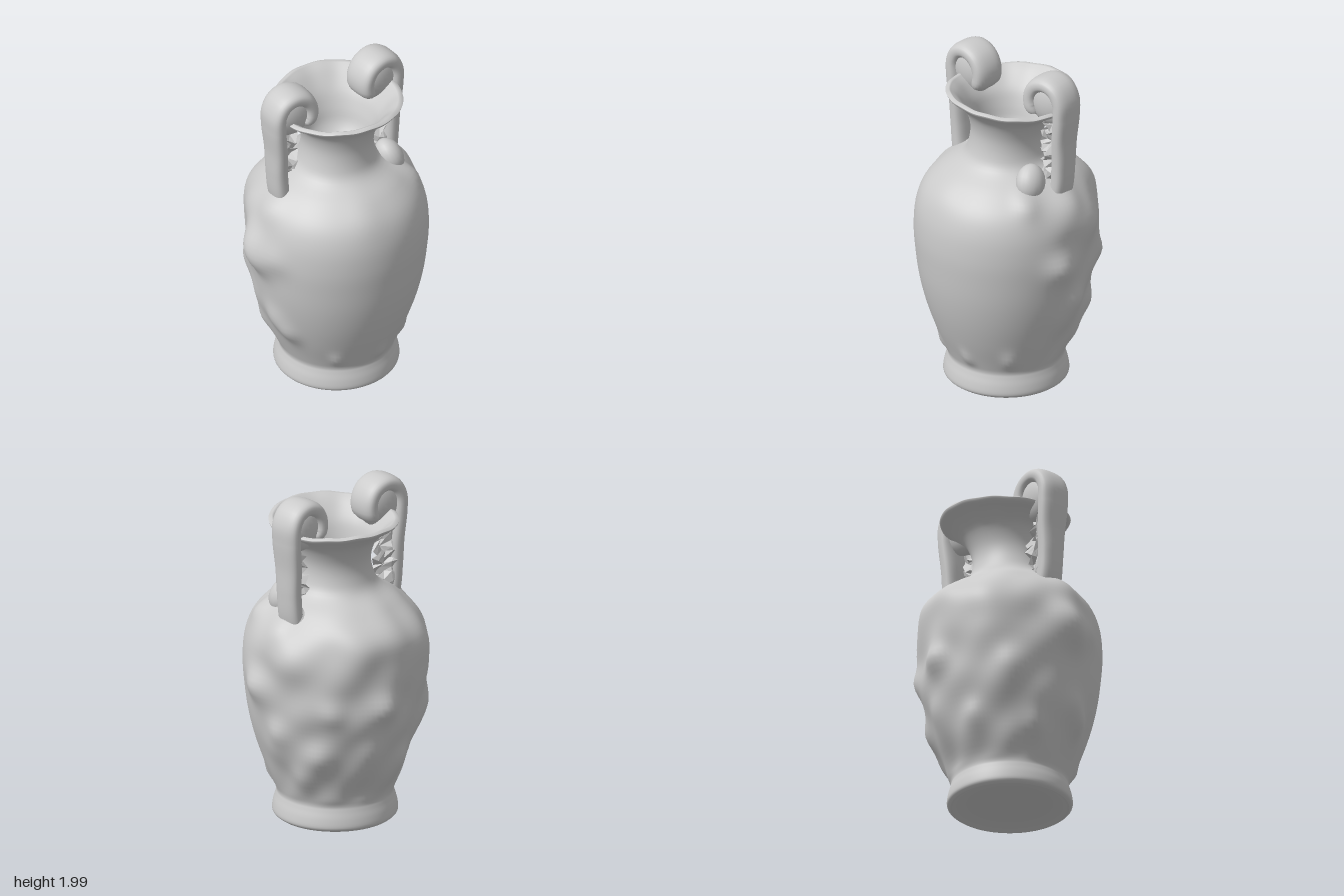
import * as THREE from 'three';
import { mergeVertices } from 'three/addons/utils/BufferGeometryUtils.js';
import { ParametricGeometry } from 'three/addons/geometries/ParametricGeometry.js';

const grey = new THREE.MeshStandardMaterial({ color: 0xcccccc });
const doubleSided = new THREE.MeshStandardMaterial({ color: 0xcccccc, side: THREE.DoubleSide });
const ragged = new THREE.MeshStandardMaterial({ color: 0xcccccc, flatShading: true, side: THREE.DoubleSide });
const { smoothstep } = THREE.MathUtils;
const deg = Math.PI / 180;

// Lumps on the body: angle from the front towards +x, height, rise, spread
const lumps = [
  [-84, 1.0, 0.06, 0.1], [-78, 0.9, 0.045, 0.09], [-64, 0.97, 0.02, 0.08],
  [-70, 0.5, 0.03, 0.09], [-60, 0.42, 0.03, 0.07], [-100, 0.35, 0.03, 0.08],
  [-174, 0.79, 0.065, 0.09], [-135, 1.08, 0.05, 0.13], [-165, 1.17, 0.045, 0.13],
  [165, 1.18, 0.045, 0.13], [150, 0.78, 0.035, 0.08], [93, 0.88, 0.05, 0.09],
  [118, 1.12, 0.03, 0.13], [110, 0.62, 0.03, 0.08], [140, 0.5, 0.03, 0.09],
  [175, 0.52, 0.025, 0.09], [-120, 0.7, 0.03, 0.1], [125, 0.33, 0.02, 0.08],
  [-150, 0.42, 0.025, 0.08], [0, 1.32, 0.02, 0.12], [72, 1.3, 0.04, 0.08],
  [107, 1.26, 0.03, 0.1], [-79, 1.26, 0.03, 0.1],
  [20, 0.23, 0.018, 0.05], [-22, 0.24, 0.018, 0.05], [60, 0.25, 0.02, 0.06]
];

function seeded(seed) {
  return () => {
    seed = (seed * 16807) % 2147483647;
    return seed / 2147483647;
  };
}

function relief(angle, y) {
  const belly = smoothstep(y, 0.14, 0.24) * (1 - smoothstep(y, 1.25, 1.45));
  const back = smoothstep(-Math.cos(angle), -0.35, 0.35);
  let d = 0.005 * back * (Math.sin(5 * angle + 9 * y) + Math.sin(9 * angle - 17 * y) + Math.sin(21 * y + 2 * angle));
  for (const [a, h, rise, spread] of lumps) {
    const turn = Math.atan2(Math.sin(angle - a * deg), Math.cos(angle - a * deg)) * 0.5;
    d += rise * Math.exp(-(turn * turn + (y - h) ** 2) / (spread * spread));
  }
  return (d - 0.005 * back) * belly;
}

// Foot, belly, neck and flared mouth turned as one skin, then pushed into lumps
function vessel() {
  const outer = new THREE.SplineCurve([
    [0.335, 0.008], [0.357, 0.03], [0.352, 0.08], [0.338, 0.13], [0.334, 0.16], [0.352, 0.21], [0.41, 0.35],
    [0.46, 0.5], [0.495, 0.65], [0.515, 0.8], [0.525, 0.95], [0.512, 1.1], [0.465, 1.22],
    [0.37, 1.32], [0.255, 1.4], [0.216, 1.48], [0.21, 1.58], [0.245, 1.68], [0.305, 1.745],
    [0.36, 1.785], [0.372, 1.805]
  ].map(p => new THREE.Vector2(...p))).getPoints(90);
  const inner = new THREE.SplineCurve([
    [0.352, 1.815], [0.3, 1.775], [0.235, 1.69], [0.2, 1.6], [0.175, 1.51], [0.11, 1.44], [0.001, 1.42]
  ].map(p => new THREE.Vector2(...p))).getPoints(24);
  const under = [[0.001, 0.045], [0.2, 0.04], [0.29, 0.03], [0.32, 0.012]].map(p => new THREE.Vector2(...p));
  let g = new THREE.LatheGeometry([...under, ...outer, ...inner], 120);
  const pos = g.attributes.position;
  for (let i = 0; i < pos.count; i++) {
    const x = pos.getX(i), y = pos.getY(i), z = pos.getZ(i);
    const r = Math.hypot(x, z), a = Math.atan2(x, z);
    const k = r > 0.2 ? (r + relief(a, y)) / r : 1;
    const rim = smoothstep(y, 1.65, 1.8);
    pos.setXYZ(i, x * k + 0.018 * smoothstep(y, 1.4, 1.8),
      y + rim * (0.012 * Math.cos(2 * a) + 0.008 * Math.cos(a) + 0.002 * Math.sin(13 * a) - 0.005),
      z * k + 0.03 - 0.02 * smoothstep(y, 1.5, 1.8));
  }
  g.deleteAttribute('normal');
  g.deleteAttribute('uv');
  g = mergeVertices(g, 1e-4);
  g.computeVertexNormals();
  return g;
}

// Rounded strap swept along a path that curls over the rim
function strap() {
  const path = new THREE.CatmullRomCurve3([
    [0.33, 1.16], [0.375, 1.3], [0.39, 1.45], [0.395, 1.6], [0.41, 1.76], [0.408, 1.86], [0.37, 1.925],
    [0.305, 1.948], [0.235, 1.922], [0.197, 1.86], [0.2, 1.79], [0.24, 1.745]
  ].map(([x, y]) => new THREE.Vector3(x, y, 0)));
  const soft = v => Math.sign(v) * Math.abs(v) ** 0.75;
  return new ParametricGeometry((u, v, out) => {
    const p = path.getPointAt(v), t = path.getTangentAt(v);
    const a = u * Math.PI * 2;
    const end = Math.sqrt(Math.max(0, 1 - Math.max(0, (v - 0.94) / 0.06) ** 2));
    const thick = 0.048 * end * soft(Math.cos(a));
    const wide = THREE.MathUtils.lerp(0.078, 0.098, smoothstep(v, 0.2, 0.6)) * (0.6 + 0.4 * end);
    out.set(p.x + t.y * thick, p.y - t.x * thick, -wide * soft(Math.sin(a)));
  }, 28, 60);
}

// Jagged leftover skin between strap and neck
function web(seed) {
  const rnd = seeded(seed), rows = 12, cols = 4, jitter = [];
  for (let i = 0; i < (rows + 1) * (cols + 1); i++) jitter.push([rnd() - 0.5, rnd() - 0.5, rnd() - 0.5]);
  return new ParametricGeometry((u, v, out) => {
    const c = Math.min(cols, Math.round(u * cols)), r = Math.min(rows, Math.round(v * rows));
    const [a, b, d] = jitter[r * (cols + 1) + c];
    const y = 1.33 + 0.4 * v;
    const reach = 0.12 + (r % 2) * 0.03 - 0.05 * smoothstep(y, 1.6, 1.73);
    out.set(0.375 - reach * u + a * 0.02, y + b * 0.03, 0.055 - 0.03 * u + d * 0.05);
  }, cols, rows);
}

function handle(name, turn, seed) {
  const group = new THREE.Group();
  group.name = name;
  const add = (part, geometry, material = grey) => {
    const m = new THREE.Mesh(geometry, material);
    m.name = part;
    group.add(m);
    return m;
  };
  add('handleStrap', strap(), doubleSided);
  // Solid disc filling the curl, slightly sunk behind the strap edges
  const core = add('curlCore', new THREE.SphereGeometry(0.15, 28, 18));
  core.scale.set(1, 1, 0.56);
  core.position.set(0.303, 1.833, 0);
  add('raggedWeb', web(seed), ragged);
  // Swelling where the strap joins the shoulder
  const root = add('handleRoot', new THREE.SphereGeometry(0.1, 20, 14));
  root.scale.set(0.85, 1.2, 1.05);
  root.position.set(0.34, 1.24, 0);
  group.rotation.y = turn;
  return group;
}

export function createModel() {
  const model = new THREE.Group();
  model.name = 'amphora';
  const body = new THREE.Mesh(vessel(), grey);
  body.name = 'vesselBody';
  model.add(body);
  model.add(handle('leftHandle', 0.29, 17), handle('rightHandle', Math.PI + 0.18, 91));

  // Stray knob on the shoulder beside the left handle
  const knob = new THREE.Mesh(new THREE.SphereGeometry(0.085, 20, 14), grey);
  knob.name = 'shoulderKnob';
  knob.scale.set(0.9, 1.25, 1.05);
  knob.rotation.set(-0.4, 0, 0.35);
  knob.position.set(0.31, 1.36, 0.07);
  model.add(knob);
  return model;
}
